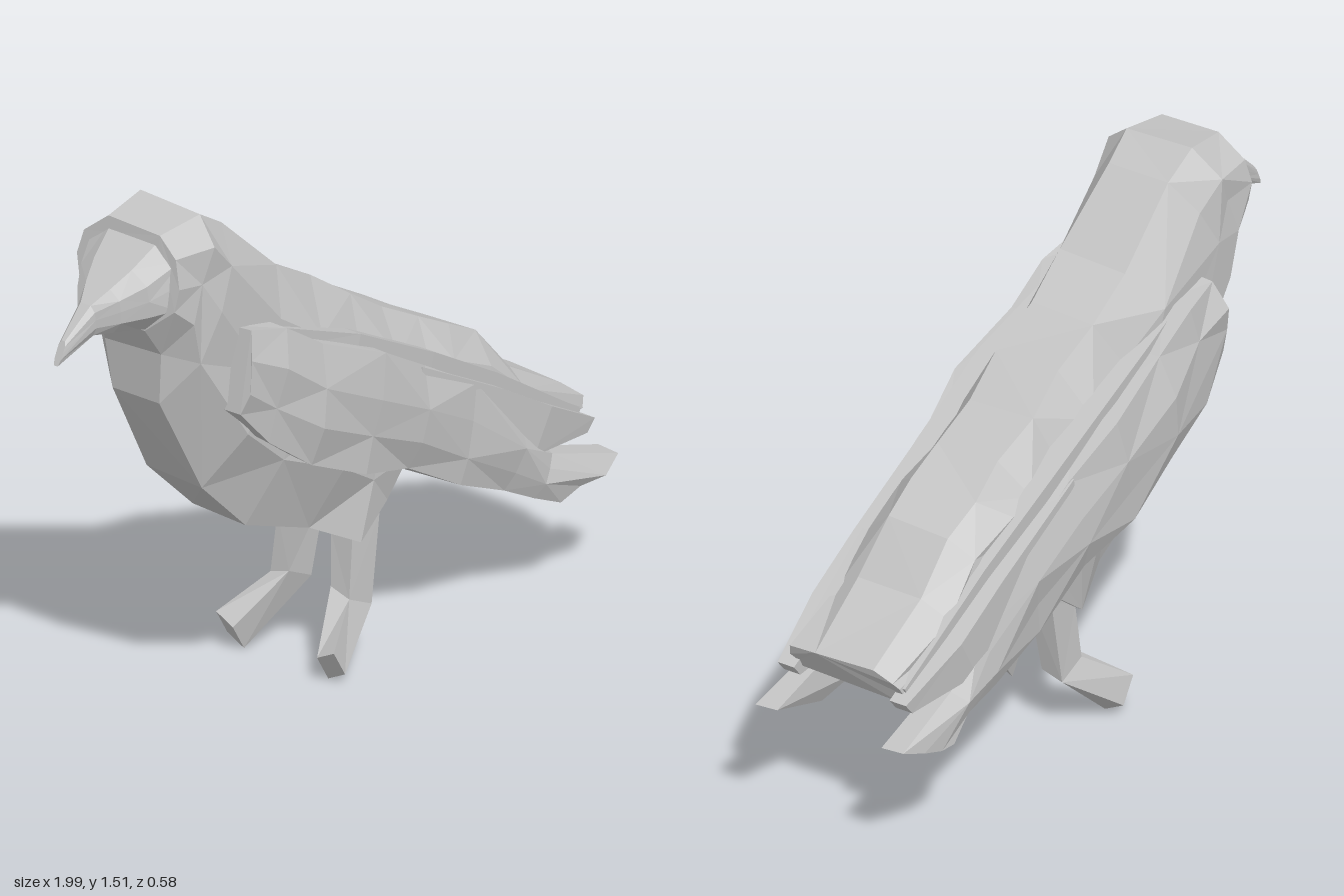
import * as THREE from 'three';

const plumage = new THREE.MeshStandardMaterial({ color: 0xc4c4c4 });
plumage.name = 'plain grey';

// Faceted skin through a row of rings, capped at both ends, slightly roughened for a hand-cut look
function loft(name, shape, rough = 0) {
  const pos = [], n = shape[0].length, last = shape.length - 1;
  const rings = shape.map((ring, i) => ring.map(([x, y, z], j) =>
    [x, y + rough * 0.6 * Math.sin(i * 5.1 + j * 2.3), z + rough * Math.sin(i * 2.7 + j * 4.3)]));
  const tri = (a, b, c) => pos.push(...a, ...b, ...c);
  for (let i = 0; i < last; i++) {
    for (let j = 0; j < n; j++) {
      const k = (j + 1) % n, a = rings[i][j], b = rings[i][k], c = rings[i + 1][k], d = rings[i + 1][j];
      if ((i + j) % 2) { tri(a, b, c); tri(a, c, d); } else { tri(a, b, d); tri(b, c, d); }
    }
  }
  for (let j = 1; j < n - 1; j++) {
    tri(rings[0][0], rings[0][j + 1], rings[0][j]);
    tri(rings[last][0], rings[last][j], rings[last][j + 1]);
  }
  const geo = new THREE.BufferGeometry();
  geo.setAttribute('position', new THREE.Float32BufferAttribute(pos, 3));
  geo.computeVertexNormals();
  const mesh = new THREE.Mesh(geo, plumage);
  mesh.name = name;
  return mesh;
}

// Mirror rings across the body and keep their faces outward
const mirrored = (rings, s) => s > 0 ? rings
  : rings.map(r => r.map(([x, y, z]) => [x, y, -z]).reverse());

// Ring between two edge points, from inner depth z0 to outer depth z1, with an optional bulge
function slab([px, py, qx, qy, z0, z1, lift = 0], bulge = 0) {
  const mid = (t, z) => [px + (qx - px) * t, py + (qy - py) * t + (z === z0 ? 0 : lift), z];
  const ring = [mid(0, z1 - bulge)];
  if (bulge) ring.push(mid(0.36, z1), mid(0.7, z1 - bulge * 0.2));
  ring.push(mid(1, z1 - bulge * 0.9), mid(1, z0), mid(0, z0));
  return ring;
}

// Ten-sided body section between a back point and a belly point
function section([tx, ty, bx, by, w, belly]) {
  const half = [[0, 0.55], [0.2, 0.97], [0.45, 1], [0.72, 0.98], [1, belly]];
  const side = s => half.map(([t, k]) => [tx + (bx - tx) * t, ty + (by - ty) * t, s * w * k]);
  return [...side(1), ...side(-1).reverse()];
}

export function createModel() {
  const bird = new THREE.Group();
  bird.name = 'bird';

  // Slanted body sections: back x, y, belly x, y, half width, belly width ratio
  const torso = [
    [-0.69, 1.485, -0.73, 1.21, 0.18, 0.5],
    [-0.54, 1.51, -0.69, 1.13, 0.19, 0.5],
    [-0.44, 1.45, -0.68, 0.98, 0.188, 0.5],
    [-0.24, 1.26, -0.52, 0.69, 0.192, 0.5],
    [-0.08, 1.17, -0.35, 0.53, 0.188, 0.53],
    [0.06, 1.08, -0.10, 0.44, 0.19, 0.6],
    [0.20, 1.00, 0.04, 0.365, 0.188, 0.86],
    [0.34, 0.93, 0.16, 0.45, 0.19, 0.88],
    [0.46, 0.865, 0.13, 0.57, 0.188, 0.88],
    [0.58, 0.80, 0.45, 0.48, 0.188, 0.88],
    [0.70, 0.66, 0.66, 0.455, 0.185, 0.9],
    [0.93, 0.54, 0.89, 0.455, 0.18, 0.95],
  ];
  const beak = [
    [-0.97, 1.235, -1.00, 1.17, 0.012, 0.6],
    [-0.88, 1.315, -0.87, 1.225, 0.033, 0.6],
    [-0.83, 1.355, -0.82, 1.225, 0.08, 0.6],
    [-0.77, 1.40, -0.75, 1.22, 0.125, 0.6],
    [-0.66, 1.48, -0.71, 1.21, 0.17, 0.5],
  ];
  bird.add(loft('bodyAndTail', torso.map(section), 0.01));
  bird.add(loft('faceAndBeak', beak.map(section)));

  // Wing sections: top x, y, bottom x, y, inner z, outer z
  const wing = [
    [-0.47, 1.175, -0.52, 0.94, 0.16, 0.262],
    [-0.34, 1.15, -0.41, 0.83, 0.16, 0.27],
    [-0.20, 1.06, -0.25, 0.72, 0.16, 0.285],
    [0.03, 0.96, -0.05, 0.63, 0.16, 0.29],
    [0.22, 0.85, 0.15, 0.57, 0.16, 0.278],
    [0.42, 0.74, 0.35, 0.46, 0.16, 0.268],
    [0.62, 0.56, 0.55, 0.38, 0.16, 0.262],
    [0.74, 0.435, 0.66, 0.33, 0.165, 0.26],
    [0.99, 0.355, 0.76, 0.285, 0.18, 0.27],
  ];
  const flightFeather = [
    [0.20, 0.86, 0.18, 0.72, 0.16, 0.25],
    [0.53, 0.69, 0.48, 0.54, 0.16, 0.25],
    [0.72, 0.58, 0.65, 0.455, 0.16, 0.25],
    [0.93, 0.47, 0.90, 0.435, 0.16, 0.215],
  ];
  const shoulderFeather = [
    [-0.30, 1.12, -0.28, 1.06, 0.15, 0.205],
    [-0.02, 1.02, -0.05, 0.93, 0.15, 0.225],
    [0.28, 0.87, 0.25, 0.76, 0.15, 0.22],
    [0.55, 0.72, 0.52, 0.62, 0.15, 0.205],
    [0.90, 0.50, 0.88, 0.46, 0.16, 0.19],
  ];
  // Leg sections, hip to toe: back x, y, front x, y, inner z, outer z, outer lift
  const leg = [
    [0.15, 0.48, 0.03, 0.45, 0.06, 0.14],
    [0.15, 0.42, 0.04, 0.37, 0.06, 0.138],
    [0.11, 0.18, 0.02, 0.22, 0.077, 0.145, -0.02],
    [-0.075, 0.0, -0.12, 0.075, 0.155, 0.217, 0.03],
  ];

  for (const [s, side] of [[1, 'left'], [-1, 'right']]) {
    const add = (name, rows, bulge, rough) =>
      bird.add(loft(side + name, mirrored(rows.map(r => slab(r, bulge)), s), rough));
    add('Wing', wing, 0.028, 0.01);
    add('FlightFeather', flightFeather);
    add('ShoulderFeather', shoulderFeather);
    add('Leg', leg);
  }
  return bird;
}
